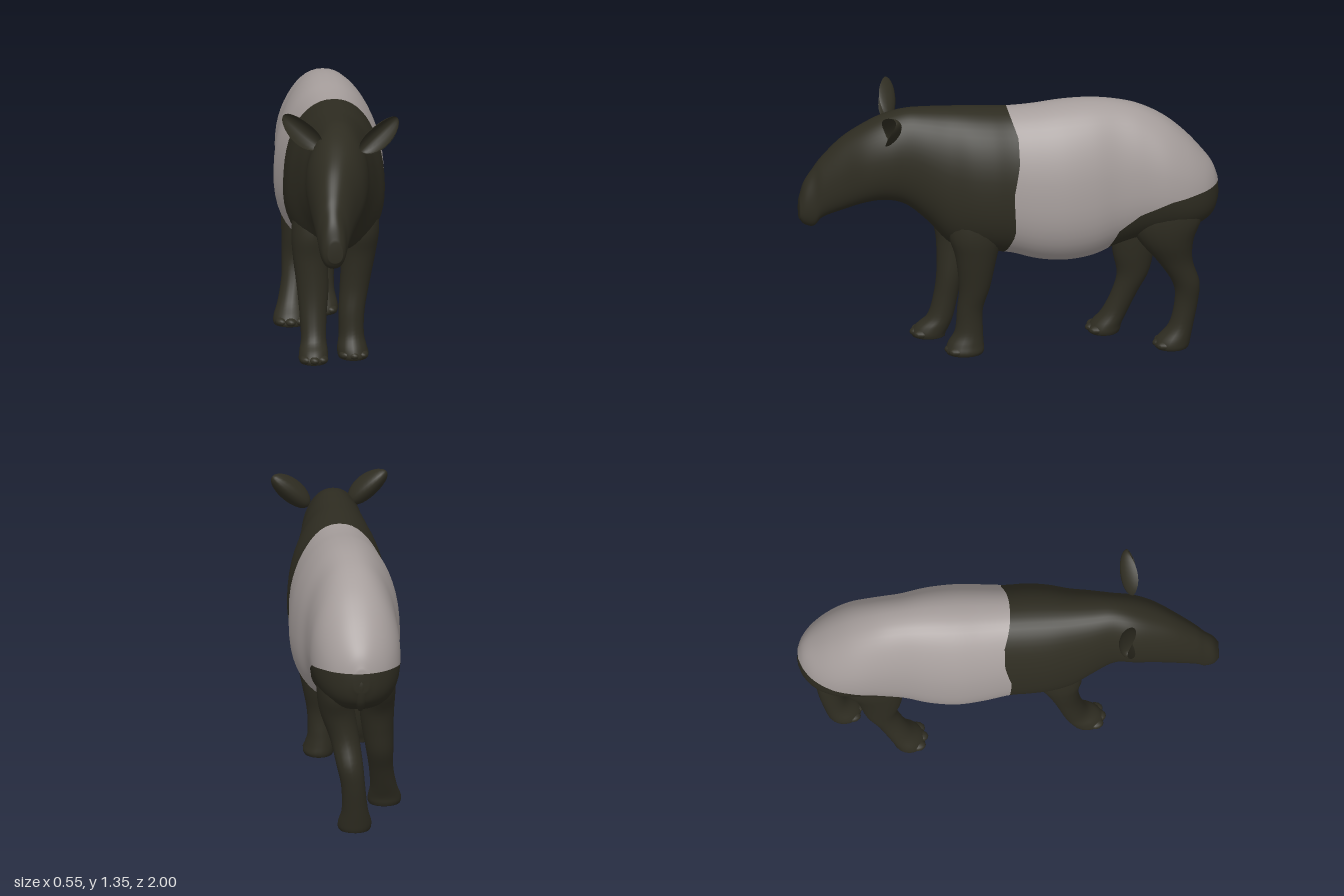
import * as THREE from 'three';

const dark = new THREE.MeshStandardMaterial({ color: 0x2e2c21 });
dark.name = 'dark hide';
const light = new THREE.MeshStandardMaterial({ color: 0xa69e9c });
light.name = 'pale saddle';

// Skin of elliptical rings, smoothly interpolated between rows.
// place(row, cos, sin) gives a point on the ring of a row.
function loft(rows, steps, sides, place) {
  const size = rows[0].length;
  const curve = new THREE.CubicInterpolant(rows.map((_, i) => i), rows.flat(), size, new Float32Array(size));
  const pos = [], index = [];
  for (let i = 0; i <= steps; i++) {
    const row = curve.evaluate((i / steps) * (rows.length - 1));
    for (let j = 0; j < sides; j++) {
      const a = (j / sides) * Math.PI * 2;
      pos.push(...place(row, Math.cos(a), Math.sin(a)));
    }
  }
  for (let i = 0; i < steps; i++) {
    for (let j = 0; j < sides; j++) {
      const a = i * sides + j, b = i * sides + (j + 1) % sides;
      index.push(a, a + sides, b, b, a + sides, b + sides);
    }
  }
  // end caps
  const last = steps * sides, c0 = pos.length / 3;
  pos.push(...place(rows[0], 0, 0), ...place(rows[rows.length - 1], 0, 0));
  for (let j = 0; j < sides; j++) {
    const k = (j + 1) % sides;
    index.push(c0, j, k, c0 + 1, last + k, last + j);
  }
  const geo = new THREE.BufferGeometry();
  geo.setAttribute('position', new THREE.Float32BufferAttribute(pos, 3));
  geo.setIndex(index);
  geo.computeVertexNormals();
  return geo;
}

// Piecewise linear lookup, keys ascending
function lin(pts, t) {
  if (t <= pts[0][0]) return pts[0][1];
  for (let i = 1; i < pts.length; i++) {
    const [a, u] = pts[i - 1], [b, v] = pts[i];
    if (t <= b) return u + ((v - u) * (t - a)) / (b - a);
  }
  return pts[pts.length - 1][1];
}

// Keeps the part of a geometry where field * sign is positive
function clip(geo, field, sign) {
  const p = geo.attributes.position, n = geo.attributes.normal, ix = geo.index.array;
  const pos = [], nor = [];
  const vert = (i) => {
    const v = new THREE.Vector3().fromBufferAttribute(p, i);
    return { v, n: new THREE.Vector3().fromBufferAttribute(n, i), f: field(v) * sign };
  };
  for (let t = 0; t < ix.length; t += 3) {
    const tri = [vert(ix[t]), vert(ix[t + 1]), vert(ix[t + 2])], poly = [];
    tri.forEach((a, k) => {
      const b = tri[(k + 1) % 3];
      if (a.f >= 0) poly.push(a);
      if ((a.f >= 0) !== (b.f >= 0)) {
        const s = a.f / (a.f - b.f);
        poly.push({ v: a.v.clone().lerp(b.v, s), n: a.n.clone().lerp(b.n, s).normalize() });
      }
    });
    for (let k = 2; k < poly.length; k++) {
      for (const q of [poly[0], poly[k - 1], poly[k]]) {
        pos.push(q.v.x, q.v.y, q.v.z);
        nor.push(q.n.x, q.n.y, q.n.z);
      }
    }
  }
  const out = new THREE.BufferGeometry();
  out.setAttribute('position', new THREE.Float32BufferAttribute(pos, 3));
  out.setAttribute('normal', new THREE.Float32BufferAttribute(nor, 3));
  return out;
}

// Snout to rump: z, top, bottom, centre x, half width
const BODY = [
  [1.0, 0.83, 0.73, -0.055, 0.035], [0.975, 0.91, 0.70, -0.06, 0.055], [0.93, 0.98, 0.69, -0.06, 0.067],
  [0.89, 1.035, 0.735, -0.055, 0.08], [0.8, 1.13, 0.775, -0.042, 0.105], [0.7, 1.2, 0.815, -0.025, 0.133],
  [0.6, 1.25, 0.83, -0.015, 0.148], [0.5, 1.278, 0.805, -0.005, 0.148], [0.4, 1.28, 0.72, -0.003, 0.175],
  [0.3, 1.277, 0.61, 0, 0.202], [0.2, 1.275, 0.575, 0.007, 0.227], [0.1, 1.27, 0.56, 0.012, 0.237],
  [0, 1.265, 0.545, 0.013, 0.237], [-0.12, 1.27, 0.51, 0.013, 0.25], [-0.25, 1.282, 0.495, 0.011, 0.258],
  [-0.38, 1.285, 0.51, 0.01, 0.245], [-0.5, 1.272, 0.555, 0.007, 0.22], [-0.62, 1.24, 0.59, 0.006, 0.213],
  [-0.74, 1.175, 0.61, 0.006, 0.21], [-0.84, 1.09, 0.62, 0.005, 0.188], [-0.92, 1.0, 0.65, 0.005, 0.145],
  [-0.97, 0.93, 0.69, 0.005, 0.09], [-0.995, 0.86, 0.75, 0.005, 0.035],
];
// sections are slightly square and heavier below
const bulge = (c) => Math.sign(c) * Math.abs(c) ** 0.9;
const bodyRing = ([z, top, bottom, x, w], c, s) =>
  [x + w * bulge(c) * (1 - 0.14 * s), (top + bottom) / 2 + ((top - bottom) / 2) * bulge(s), z];

// Edges of the pale saddle: shoulder line and rump line
const SHOULDER = [[0.5, 0.07], [0.58, 0.04], [0.7, 0], [0.9, 0.01], [1.05, -0.02], [1.17, -0.02], [1.27, 0.015]];
const RUMP = [[-1.01, 0.845], [-0.88, 0.835], [-0.75, 0.815], [-0.6, 0.755], [-0.5, 0.675], [-0.46, 0.58], [-0.43, 0.4]];
const saddle = (v) => Math.min(lin(SHOULDER, v.y) - v.z, v.y - lin(RUMP, v.z));

// Legs from top to sole: y, x, z, half width, half depth
const LEGS = {
  leftFrontLeg: [
    [1.0, 0.1, 0.17, 0.05, 0.06], [0.82, 0.115, 0.175, 0.088, 0.12], [0.68, 0.126, 0.178, 0.092, 0.13],
    [0.56, 0.12, 0.175, 0.082, 0.1],
    [0.4, 0.1, 0.18, 0.07, 0.075], [0.28, 0.085, 0.2, 0.062, 0.062], [0.17, 0.083, 0.205, 0.06, 0.067],
    [0.11, 0.085, 0.22, 0.07, 0.085], [0.075, 0.09, 0.225, 0.074, 0.092], [0.057, 0.09, 0.225, 0.068, 0.086],
  ],
  rightFrontLeg: [
    [1.0, -0.08, 0.19, 0.05, 0.06], [0.82, -0.1, 0.21, 0.085, 0.115], [0.68, -0.114, 0.235, 0.09, 0.115],
    [0.56, -0.115, 0.25, 0.083, 0.085],
    [0.4, -0.105, 0.27, 0.074, 0.064], [0.28, -0.105, 0.29, 0.064, 0.058], [0.18, -0.105, 0.315, 0.06, 0.062],
    [0.13, -0.108, 0.35, 0.067, 0.08], [0.095, -0.11, 0.37, 0.07, 0.083], [0.075, -0.11, 0.37, 0.064, 0.078],
  ],
  leftHindLeg: [
    [0.96, 0.08, -0.74, 0.04, 0.06], [0.8, 0.1, -0.735, 0.08, 0.15], [0.69, 0.108, -0.73, 0.085, 0.175],
    [0.58, 0.095, -0.74, 0.083, 0.13],
    [0.46, 0.065, -0.785, 0.07, 0.083], [0.34, 0.045, -0.84, 0.063, 0.064], [0.24, 0.03, -0.843, 0.057, 0.056],
    [0.12, 0.02, -0.82, 0.062, 0.058], [0.05, 0.017, -0.785, 0.078, 0.08], [0.02, 0.017, -0.775, 0.08, 0.084],
    [0.004, 0.017, -0.775, 0.074, 0.078],
  ],
  rightHindLeg: [
    [0.96, -0.07, -0.7, 0.04, 0.06], [0.8, -0.09, -0.68, 0.08, 0.14], [0.68, -0.104, -0.655, 0.085, 0.16],
    [0.56, -0.105, -0.62, 0.083, 0.122],
    [0.45, -0.11, -0.61, 0.075, 0.1], [0.34, -0.12, -0.607, 0.065, 0.076], [0.24, -0.13, -0.57, 0.058, 0.062],
    [0.14, -0.145, -0.525, 0.063, 0.062], [0.08, -0.153, -0.487, 0.077, 0.073], [0.05, -0.155, -0.475, 0.08, 0.078],
    [0.032, -0.155, -0.473, 0.074, 0.073],
  ],
};
const legRing = ([y, x, z, w, d], c, s) => [x + w * c, y, z - d * s];

export function createModel() {
  const model = new THREE.Group();
  model.name = 'tapir';
  const add = (name, geo, mat, parent = model) => {
    const mesh = new THREE.Mesh(geo, mat);
    mesh.name = name;
    parent.add(mesh);
    return mesh;
  };

  // body, head and snout in one skin, divided by colour
  const skin = loft(BODY, 132, 48, bodyRing);
  add('darkBody', clip(skin, saddle, -1), dark);
  add('paleSaddle', clip(skin, saddle, 1), light);

  // legs with three blunt toes each, mostly sunk in the foot
  for (const [name, rows] of Object.entries(LEGS)) {
    const leg = new THREE.Group();
    leg.name = name;
    model.add(leg);
    add('limb', loft(rows, 44, 20, legRing), dark, leg);
    const [y, x, z, w, d] = rows[rows.length - 1];
    for (const k of [-1, 0, 1]) {
      const toe = add('toe', new THREE.SphereGeometry(1, 12, 8), dark, leg);
      toe.scale.set(0.031, 0.022, 0.04);
      toe.position.set(x + k * w * 0.58, y + 0.021, z + d * (k ? 0.5 : 0.68));
    }
  }

  // ears: rounded leaves, broad at the base, hollowed towards the front
  for (const side of [-1, 1]) {
    const geo = new THREE.SphereGeometry(1, 20, 14);
    const p = geo.attributes.position;
    for (let i = 0; i < p.count; i++) {
      const x = p.getX(i), y = p.getY(i), z = p.getZ(i);
      const width = 0.056 * (1 - 0.12 * y);
      p.setXYZ(i, x * width, y * 0.118, (z > 0 ? -0.35 * z : z) * 0.045 + 0.035 * x * x);
    }
    geo.computeVertexNormals();
    const ear = add(side > 0 ? 'leftEar' : 'rightEar', geo, dark);
    ear.position.set(side * 0.183 + 0.003, side > 0 ? 1.245 : 1.262, side > 0 ? 0.59 : 0.565);
    ear.rotation.set(0, side * 0.1, -side * 0.84);
  }

  // short tail hanging against the rump
  const TAIL = [[0.84, 0.005, -0.955, 0.03, 0.03], [0.78, 0.005, -0.968, 0.034, 0.03],
    [0.7, 0.005, -0.96, 0.028, 0.024], [0.645, 0.005, -0.935, 0.01, 0.01]];
  add('tail', loft(TAIL, 12, 12, legRing), dark);

  return model;
}
